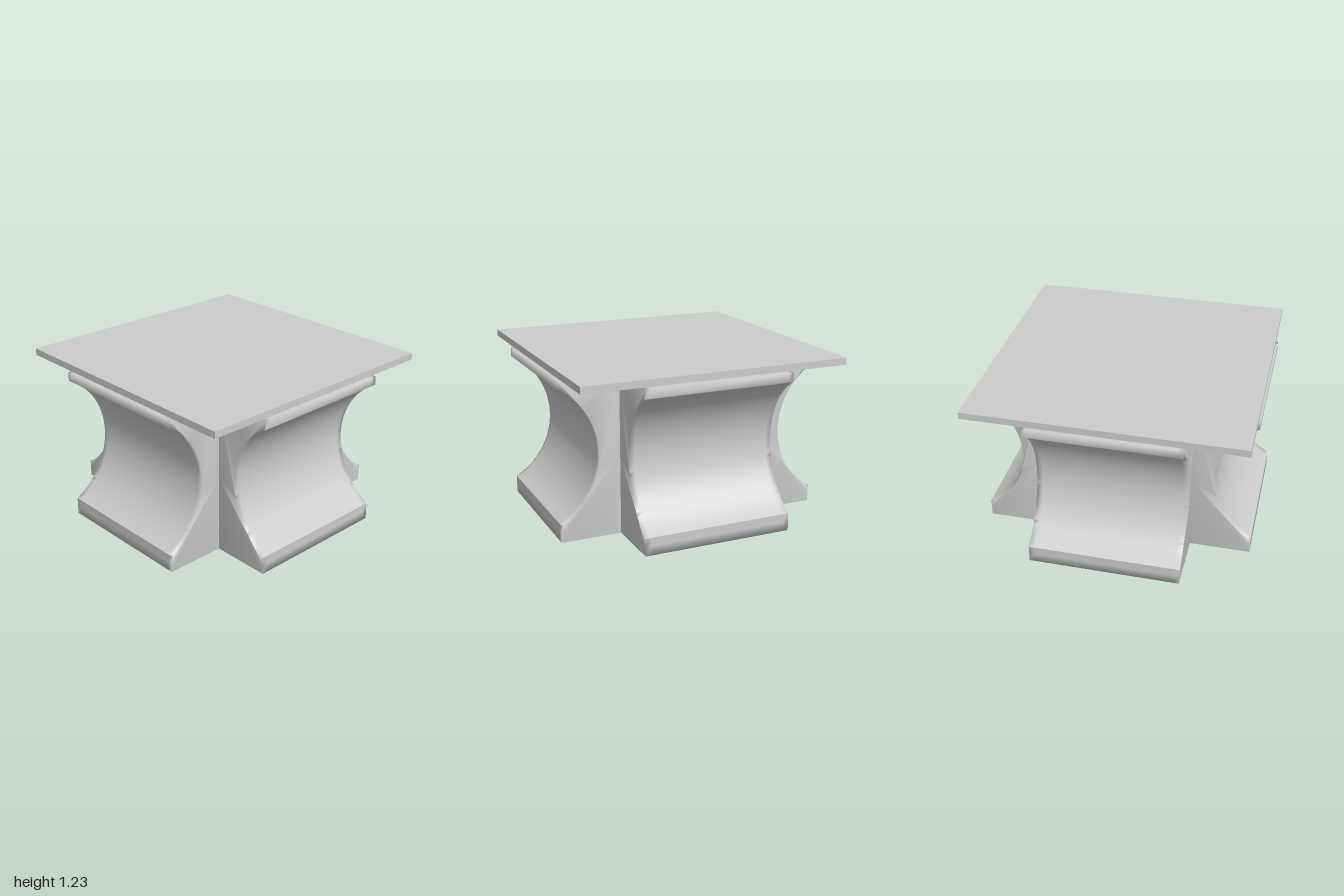
import * as THREE from 'three';
import { mergeVertices } from 'three/addons/utils/BufferGeometryUtils.js';

const HALF = 0.555; // half the width of a leg, also its distance from the centre

// Side profile: flat inner wall, thin lips, and a circular hollow facing outwards
function legGeometry() {
  const s = new THREE.Shape();
  s.moveTo(HALF, 0);
  s.lineTo(1, 0);
  s.lineTo(1, 0.07);
  s.lineTo(1, 0.13);
  s.absarc(1.26, 0.615, 0.55, Math.PI + 1.08, Math.PI - 1.08, true);
  s.lineTo(1, 1.165);
  s.lineTo(HALF, 1.165);
  s.lineTo(HALF, 0.58);
  // Zero-size bevels add a supporting ring close to each end
  const inset = 0.04;
  let g = new THREE.ExtrudeGeometry(s, {
    depth: 2 * (HALF - inset), curveSegments: 28,
    bevelEnabled: true, bevelThickness: inset, bevelSize: 0, bevelSegments: 1,
  });
  g.translate(0, 0, -(HALF - inset));
  // Shared vertices give the soft shading that runs over the edges
  g.deleteAttribute('normal');
  g.deleteAttribute('uv');
  g = mergeVertices(g, 1e-4);
  g.computeVertexNormals();
  return g;
}

export function createModel() {
  const model = new THREE.Group();
  model.name = 'table';
  const material = new THREE.MeshStandardMaterial({ color: 0xcccccc });

  // Thin square top, floating just above the legs
  const top = new THREE.Mesh(new THREE.BoxGeometry(1.975, 0.05, 1.975), material);
  top.name = 'tableTop';
  top.position.y = 1.2;
  model.add(top);

  // Four hollow-fronted legs around an open square core
  const geometry = legGeometry();
  ['leftLeg', 'backLeg', 'rightLeg', 'frontLeg'].forEach((name, i) => {
    const leg = new THREE.Mesh(geometry, material);
    leg.name = name;
    leg.rotation.y = i * Math.PI / 2;
    model.add(leg);
  });
  return model;
}
